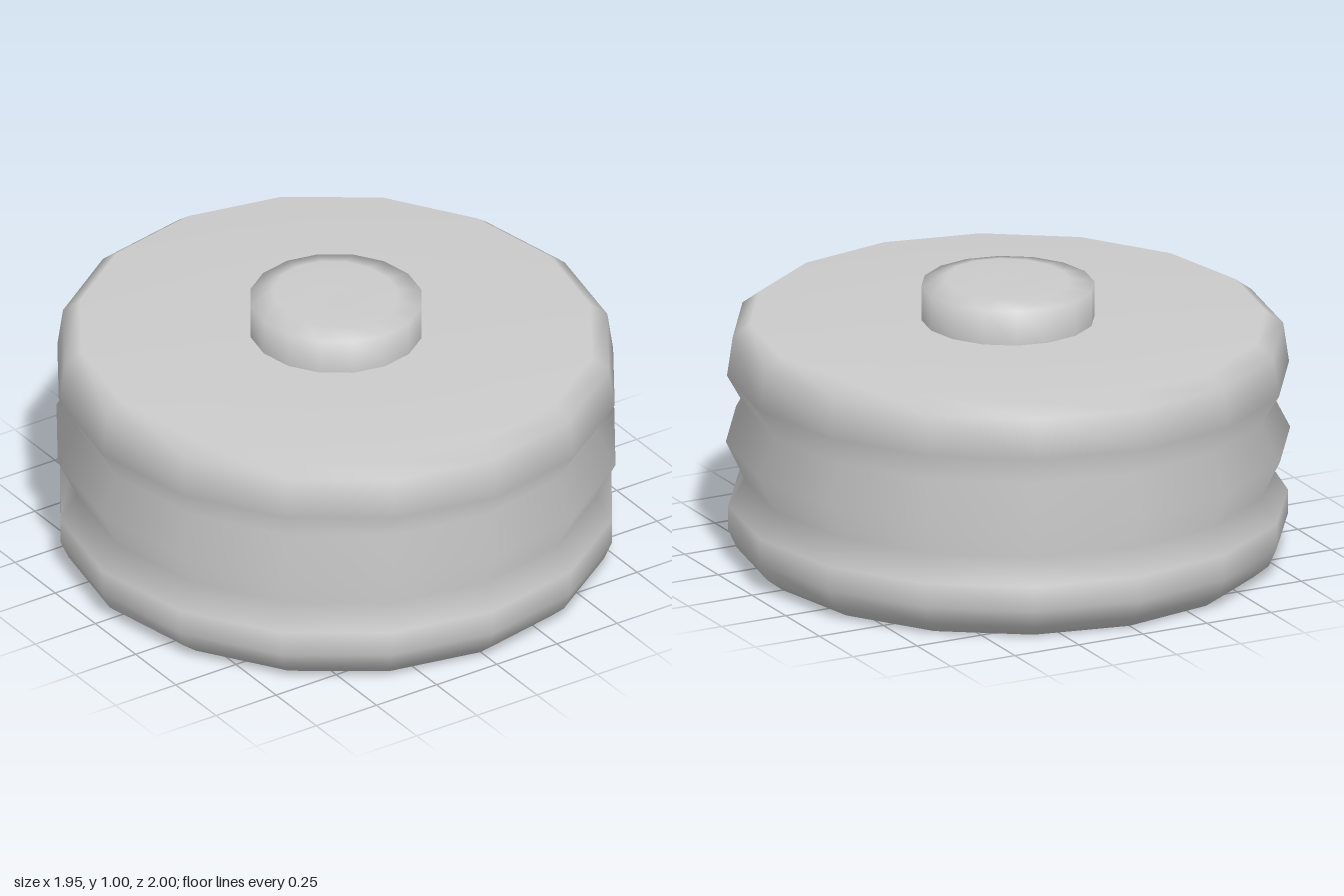
import * as THREE from 'three';

const SIDES = 16;
const material = new THREE.MeshStandardMaterial({ color: 0xcccccc });

// Smooth 16-sided turned part; each profile ring is [x radius, z radius, height]
function turned(name, rings) {
  const geometry = new THREE.LatheGeometry(rings.map(([rx, , y]) => new THREE.Vector2(rx, y)), SIDES);
  const pos = geometry.attributes.position;
  for (let i = 0; i < pos.count; i++) {
    const [rx, rz] = rings[i % rings.length];
    if (rx > 0) pos.setZ(i, pos.getZ(i) * rz / rx);
  }
  const mesh = new THREE.Mesh(geometry, material);
  mesh.name = name;
  return mesh;
}

export function createModel() {
  const group = new THREE.Group();
  group.name = 'ribbedDrum';

  // Drum with two V grooves; the top stays open where the knob rises
  group.add(turned('ribbedBody', [
    [0, 0, 0], [0.88, 0.9, 0],
    [0.94, 0.95, 0.045], [0.97, 0.975, 0.11], [0.97, 0.975, 0.2],
    [0.91, 0.925, 0.29], [0.975, 1, 0.43], [0.91, 0.925, 0.56],
    [0.97, 1, 0.67], [0.95, 0.98, 0.81], [0.89, 0.92, 0.855],
    [0.3, 0.305, 0.855],
  ]));

  // Short knob with a shallow bevelled cap
  group.add(turned('knob', [
    [0.3, 0.305, 0.855], [0.3, 0.305, 0.978],
    [0.21, 0.23, 0.995], [0, 0, 0.99],
  ]));

  return group;
}
